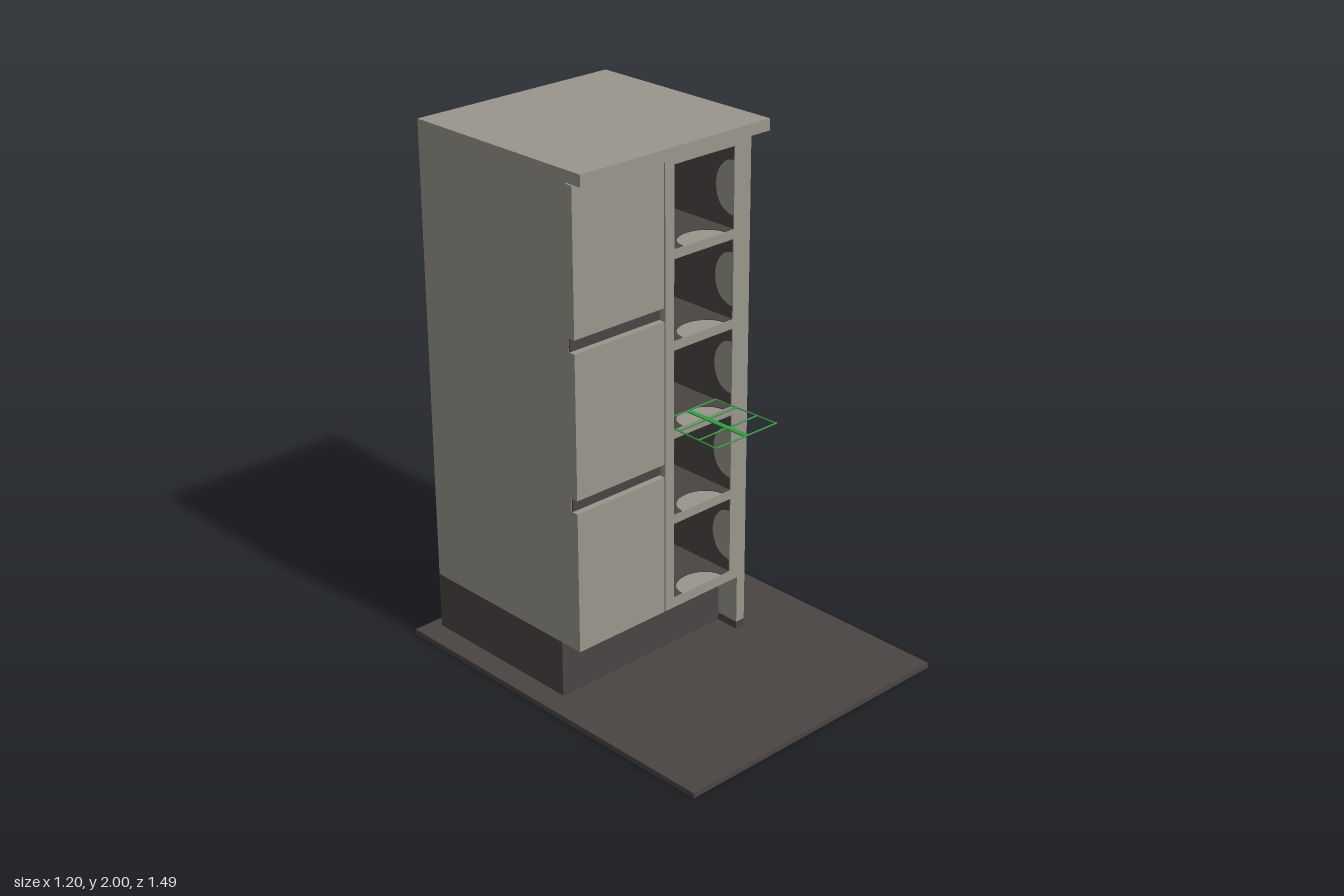
import * as THREE from 'three';

const light = new THREE.MeshStandardMaterial({ color: 0x9a968d });
light.name = 'stoneGrey';
const dark = new THREE.MeshStandardMaterial({ color: 0x4a4543 });
dark.name = 'darkBrown';
const green = new THREE.MeshStandardMaterial({ color: 0x2f9e3f });
green.name = 'green';

const BACK = -0.70, FRONT = 0.085;

export function createModel() {
  const group = new THREE.Group();

  // box given by its limits on each axis
  function box(name, mat, x0, x1, y0, y1, z0, z1) {
    const m = new THREE.Mesh(new THREE.BoxGeometry(x1 - x0, y1 - y0, z1 - z0), mat);
    m.position.set((x0 + x1) / 2, (y0 + y1) / 2, (z0 + z1) / 2);
    m.name = name;
    group.add(m);
    return m;
  }

  // floor, plinth, worktop and end panel with its foot
  box('floor', dark, -0.6, 0.6, 0, 0.02, -0.745, 0.745);
  box('plinth', dark, -0.51, 0.27, 0.02, 0.24, BACK, -0.01);
  box('worktop', light, -0.51, 0.355, 1.957, 2, BACK, 0.128);
  box('endPanel', light, 0.27, 0.31, 0.05, 1.957, BACK, FRONT);
  box('endPanelFoot', dark, 0.27, 0.31, 0.02, 0.05, BACK, FRONT);

  // drawer side: carcass, three fronts and dark grip channels between them
  box('drawerCarcass', light, -0.51, -0.097, 0.24, 1.957, BACK, 0.055);
  for (const y of [0.24, 0.83, 1.42]) {
    box('drawerFront', light, -0.51, -0.102, y, Math.min(y + 0.54, 1.953), 0.055, FRONT);
  }
  for (const y of [0.78, 1.37]) {
    box('gripChannel', dark, -0.508, -0.102, y, y + 0.05, 0.055, 0.06);
  }
  box('shadowGap', dark, -0.102, -0.097, 0.24, 1.953, 0.055, 0.06);

  // open bottle rack: uprights, shelves and back
  const L = -0.055, R = 0.23, CELL = 0.30, STEP = 0.335, FIRST = 0.28;
  box('divider', light, -0.097, L, 0.24, 1.957, BACK, FRONT);
  box('rightUpright', light, R, 0.27, 0.24, 1.957, BACK, FRONT);
  box('rackBack', light, L, R, 0.24, 1.957, BACK, -0.68);
  box('bottomBoard', light, L, R, 0.24, FIRST, -0.68, FRONT);
  for (let i = 0; i < 5; i++) {
    const top = FIRST + i * STEP + CELL;
    box('shelf', light, L, R, top, i < 4 ? top + STEP - CELL : 1.957, -0.68, FRONT);
  }

  // thin dark lining plate with a half-round notch in its front edge
  const T = 0.003, DEPTH = 0.762;
  function liningGeometry(width) {
    const s = new THREE.Shape();
    s.moveTo(-width / 2, 0);
    s.lineTo(-0.1, 0);
    s.absellipse(0, 0, 0.1, 0.085, Math.PI, 0, true);
    s.lineTo(width / 2, 0);
    s.lineTo(width / 2, DEPTH);
    s.lineTo(-width / 2, DEPTH);
    const g = new THREE.ExtrudeGeometry(s, { depth: T, bevelEnabled: false, curveSegments: 24 });
    g.translate(0, 0, -T / 2);
    return g.rotateX(-Math.PI / 2); // lies flat, depth running to -z
  }
  const flat = liningGeometry(R - L);
  const upright = liningGeometry(CELL).rotateZ(Math.PI / 2);
  function lining(geometry, x, y) {
    const m = new THREE.Mesh(geometry, dark);
    m.position.set(x, y, FRONT - 0.002);
    m.name = 'cellLining';
    group.add(m);
  }
  for (let i = 0; i < 5; i++) {
    const y = FIRST + i * STEP, mid = (L + R) / 2;
    lining(flat, mid, y + T / 2);
    lining(flat, mid, y + CELL - T / 2);
    lining(upright, L + T / 2, y + CELL / 2);
    lining(upright, R - T / 2, y + CELL / 2);
    box('cellBack', dark, L, R, y, y + CELL, -0.68, -0.676);
  }

  // flat green wire tray pulled out of the middle cell
  const Y = 0.954;
  function wire(x0, z0, x1, z1) {
    const path = new THREE.LineCurve3(new THREE.Vector3(x0, Y, z0), new THREE.Vector3(x1, Y, z1));
    const m = new THREE.Mesh(new THREE.TubeGeometry(path, 1, 0.003, 6), green);
    m.name = 'trayWire';
    group.add(m);
  }
  wire(-0.051, 0.01, -0.062, 0.3);
  wire(0.226, 0.01, 0.235, 0.3);
  for (const z of [0.01, 0.11, 0.21, 0.3]) {
    const spread = 0.011 * (z - 0.01) / 0.29;
    wire(-0.051 - spread, z, 0.226 + spread, z);
  }
  box('trayCentreBar', green, 0.076, 0.096, Y - 0.002, Y + 0.002, 0.01, 0.3);

  return group;
}
